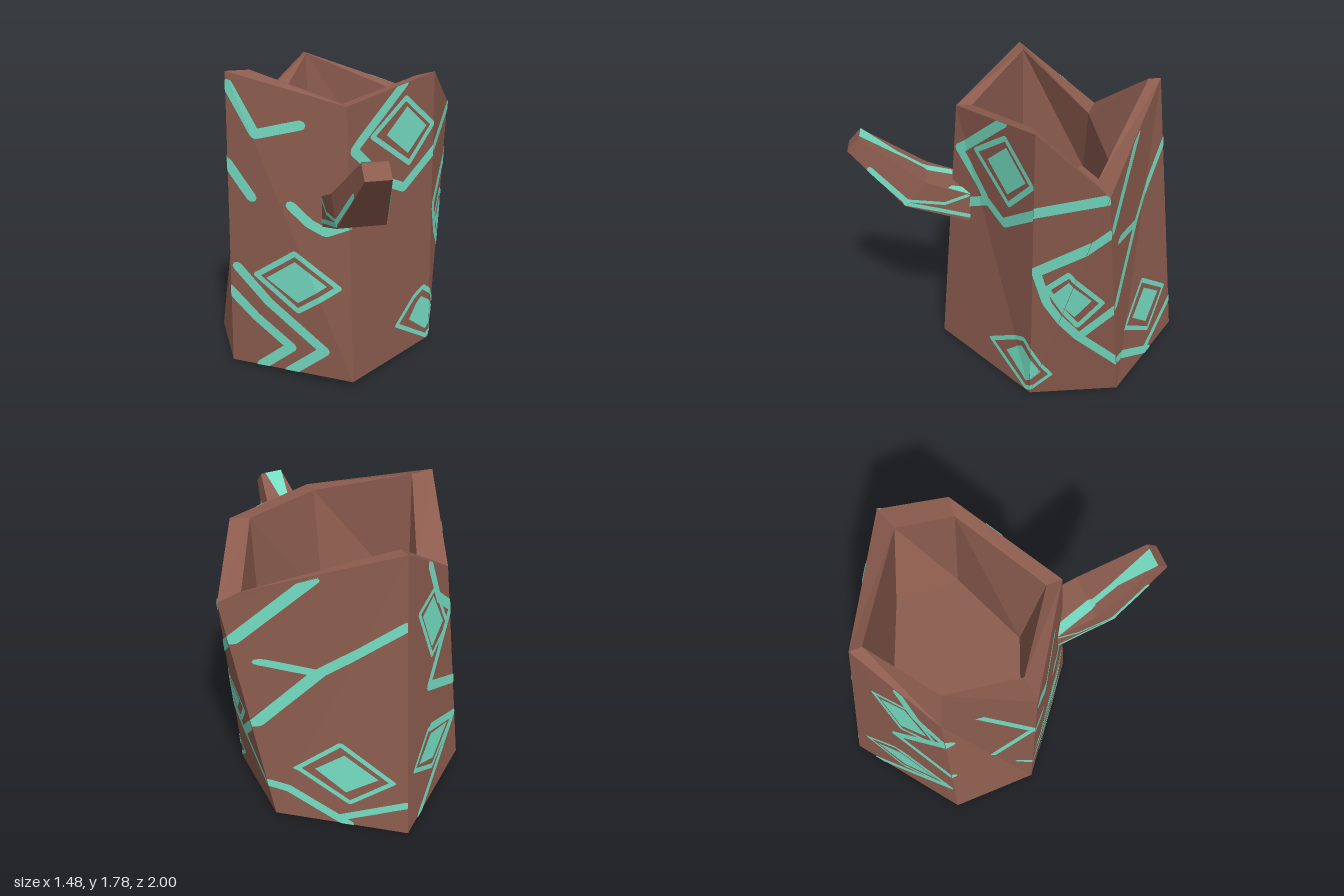
import * as THREE from 'three';

const V = (x, y, z) => new THREE.Vector3(x, y, z);
const quad = (a, b, c, d, flip) => (flip ? [[a, b, c], [a, c, d]] : [[a, b, d], [b, c, d]]);

// Mesh from a list of triangles, flat shaded because no corner is shared
function meshOf(name, tris, material) {
  const g = new THREE.BufferGeometry().setFromPoints(tris.flat());
  g.computeVertexNormals();
  const m = new THREE.Mesh(g, material);
  m.name = name;
  return m;
}

// Band of quads between two rings of corners
const band = (lo, hi, flips = []) => lo.map((p, i) => {
  const j = (i + 1) % lo.length;
  return quad(p, lo[j], hi[j], hi[i], flips[i]);
});

// Directions from which the paint is projected onto the bark
const fromFront = p => [p.x, p.y];
const fromRight = p => [p.z, p.y];
const fromTop = p => [p.x, p.z];
const fromBackLeft = p => [
  685 + 142 * (-0.824 * p.x + 0.566 * p.z),
  786 - 60 * (0.566 * p.x + 0.824 * p.z) - 128.7 * p.y,
];

const cross = (a, b, p) => (b[0] - a[0]) * (p[1] - a[1]) - (b[1] - a[1]) * (p[0] - a[0]);

// Clip a convex 2D polygon to a 2D triangle
function clip(poly, tri) {
  const s = Math.sign(cross(...tri));
  for (let i = 0; i < 3 && poly.length; i++) {
    const a = tri[i], b = tri[(i + 1) % 3], out = [];
    poly.forEach((p, k) => {
      const q = poly[(k + 1) % poly.length];
      const dp = s * cross(a, b, p), dq = s * cross(a, b, q);
      if (dp >= 0) out.push(p);
      if (dp >= 0 !== dq >= 0) {
        const t = dp / (dp - dq);
        out.push([p[0] + t * (q[0] - p[0]), p[1] + t * (q[1] - p[1])]);
      }
    });
    poly = out;
  }
  return poly;
}

// Lay polygons on the given triangles, just outside and (optionally) just inside
function paint(polys, tris, view, sides = [1, -1]) {
  const out = [];
  for (const tri of tris) {
    const flat = tri.map(view), area = cross(...flat);
    if (Math.abs(area) < 1e-6) continue;
    const n = new THREE.Triangle(...tri).getNormal(V(0, 0, 0));
    for (const poly of polys) {
      const cut = clip(poly, flat);
      for (const side of cut.length > 2 ? sides : []) {
        const pts = cut.map(p => {
          const v = cross(flat[0], p, flat[2]) / area, w = cross(flat[0], flat[1], p) / area;
          return V(0, 0, 0).addScaledVector(tri[0], 1 - v - w).addScaledVector(tri[1], v)
            .addScaledVector(tri[2], w).addScaledVector(n, 0.004 * side);
        });
        for (let i = 1; i < pts.length - 1; i++) {
          out.push(side > 0 === area > 0 ? [pts[0], pts[i], pts[i + 1]] : [pts[0], pts[i + 1], pts[i]]);
        }
      }
    }
  }
  return out;
}

// Brush stroke: one quad per segment and a round dab at every point
function stroke(w, ...pts) {
  const polys = pts.map(([x, y]) => Array.from({ length: 8 }, (_, i) =>
    [x + w / 2 * Math.cos(i * Math.PI / 4), y + w / 2 * Math.sin(i * Math.PI / 4)]));
  for (let i = 0; i < pts.length - 1; i++) {
    const [a, b] = [pts[i], pts[i + 1]];
    const l = Math.hypot(b[0] - a[0], b[1] - a[1]) * 2 / w;
    const nx = (a[1] - b[1]) / l, ny = (b[0] - a[0]) / l;
    polys.push([[a[0] + nx, a[1] + ny], [b[0] + nx, b[1] + ny], [b[0] - nx, b[1] - ny], [a[0] - nx, a[1] - ny]]);
  }
  return polys;
}
const diamond = (w, ring, fill) => [...stroke(w, ...ring, ring[0]), fill];

export function createModel() {
  const bark = new THREE.MeshStandardMaterial({ color: 0x8c5c4e, side: THREE.DoubleSide });
  bark.name = 'bark brown';
  const mint = new THREE.MeshStandardMaterial({ color: 0x74dcc2, side: THREE.DoubleSide });
  mint.name = 'mint paint';
  const model = new THREE.Group();
  model.name = 'hollowStump';

  // Six-sided rings, from the front corner round by +x
  const base = [V(-0.11, 0.04, 0.51), V(0.52, 0.01, 0), V(0.52, 0.01, -0.53),
    V(-0.11, 0, -1), V(-0.74, 0.01, -0.53), V(-0.74, 0.01, 0)];
  const rim = [V(-0.11, 1.63, 0.37), V(0.52, 1.73, -0.02), V(0.74, 1.47, -0.38),
    V(-0.11, 1.755, -0.8), V(-0.56, 1.42, -0.5), V(-0.71, 1.78, -0.04)];
  const lip = [V(-0.11, 1.63, 0.28), V(0.41, 1.71, -0.03), V(0.59, 1.47, -0.33),
    V(-0.11, 1.755, -0.73), V(-0.4, 1.42, -0.44), V(-0.57, 1.78, -0.05)];
  const floor = [[-0.11, 0.15], [0.38, -0.05], [0.38, -0.45], [-0.11, -0.65], [-0.6, -0.45], [-0.6, -0.05]]
    .map(([x, z]) => V(x, 0.95, z));

  // Trunk, open underneath
  const walls = band(base, rim, [false, true, true, false, false, false]);
  model.add(meshOf('trunkWall', walls.flat(), bark));
  model.add(meshOf('rim', band(rim, lip).flat(), bark));
  model.add(meshOf('hollowWall', band(lip, floor).flat(), bark));
  model.add(meshOf('hollowFloor', floor.map((p, i) => [V(-0.11, 0.95, -0.25), p, floor[(i + 1) % 6]]), bark));

  // Branch stub: three rectangular sections [half width, bottom z, bottom y, top z, top y]
  const sections = [[0.135, 0.31, 0.94, 0.31, 1.12], [0.135, 0.69, 1.06, 0.56, 1.21], [0.07, 1, 1.4, 0.93, 1.475]]
    .map(([w, bz, by, tz, ty]) => [V(-0.11 - w, by, bz), V(-0.11 + w, by, bz), V(-0.11 + w, ty, tz), V(-0.11 - w, ty, tz)]);
  const inner = band(sections[0], sections[1]), outer = band(sections[1], sections[2]);
  model.add(meshOf('branch', [...inner.flat(), ...outer.flat(), ...quad(...sections[2])], bark));

  // Paint on the trunk
  const on = (...faces) => faces.flatMap(i => walls[i]);
  const W = 0.055, R = 0.03;
  const frontPaint = [
    ...stroke(W, [-0.7, 1.71], [-0.57, 1.44], [-0.34, 1.51]),
    ...stroke(W, [-0.72, 1.26], [-0.6, 1.07]),
    ...stroke(W, [-0.4, 1.05], [-0.31, 0.96], [-0.23, 0.92], [-0.11, 0.98], [0, 1.06], [0.15, 1.15], [0.29, 1.08], [0.54, 1.27]),
    ...stroke(W, [0.29, 1.7], [-0.07, 1.38], [0.15, 1.15]),
    ...stroke(W, [-0.69, 0.63], [-0.53, 0.44], [-0.25, 0.2], [-0.43, 0.02]),
    ...stroke(W, [-0.74, 0.48], [-0.6, 0.33], [-0.42, 0.18], [-0.58, 0.02]),
    ...diamond(R, [[-0.59, 0.6], [-0.39, 0.77], [-0.17, 0.6], [-0.38, 0.42]],
      [[-0.54, 0.59], [-0.39, 0.72], [-0.23, 0.6], [-0.38, 0.47]]),
    ...diamond(R, [[0.06, 1.43], [0.3, 1.61], [0.51, 1.42], [0.33, 1.22]],
      [[0.16, 1.42], [0.31, 1.56], [0.46, 1.42], [0.32, 1.28]]),
  ];
  const cornerPaint = diamond(0.024, [[0.21, 0.22], [0.03, 0.38], [-0.12, 0.17], [0.02, 0.03]],
    [[0.125, 0.21], [0.04, 0.32], [-0.06, 0.2], [0.02, 0.08]]);
  const rightPaint = [
    ...stroke(W, [0.02, 1.25], [-0.4, 1.47]),
    ...stroke(W, [-0.41, 1.24], [-0.03, 0.9], [-0.09, 0.71], [-0.27, 0.48], [-0.55, 0.22]),
    ...stroke(W, [-0.27, 0.48], [-0.47, 0.69]),
    ...diamond(R, [[-0.09, 0.81], [-0.2, 0.94], [-0.39, 0.74], [-0.26, 0.57]],
      [[-0.12, 0.78], [-0.2, 0.89], [-0.33, 0.76], [-0.24, 0.64]]),
  ];
  // This wall is seen aslant, so its strokes are drawn narrower
  const backRightPaint = [
    ...stroke(0.042, [-0.59, 1.61], [-0.41, 1.24]),
    ...stroke(0.042, [-0.5, 0.26], [-0.55, 0.22], [-0.79, 0.01]),
    ...stroke(0.042, [-0.47, 0.69], [-0.62, 1.04], [-0.85, 1.37]),
    ...stroke(0.042, [-0.48, 1.11], [-0.62, 1.04]),
    ...stroke(0.042, [-0.76, 0.05], [-0.98, 0.21]),
    ...diamond(0.022, [[-0.58, 0.37], [-0.71, 0.57], [-0.91, 0.35], [-0.78, 0.17]],
      [[-0.64, 0.38], [-0.73, 0.5], [-0.86, 0.36], [-0.76, 0.24]]),
  ];
  const backPaint = [
    ...stroke(8, [673, 628], [688, 662], [715, 683], [666, 728], [720, 754]),
    ...stroke(7, [669, 769], [720, 789], [680, 814], [640, 838]),
    ...diamond(4, [[650, 657], [682, 651], [706, 694], [673, 704]], [[656, 662], [678, 656], [697, 687], [673, 697]]),
    ...diamond(4, [[633, 787], [663, 768], [719, 788], [670, 809]], [[643, 788], [668, 775], [705, 788], [672, 802]]),
    ...stroke(8, [731, 619], [769, 653]),
    ...stroke(4, [764, 655], [742, 727]),
    ...stroke(7, [761, 750], [772, 752]),
  ];
  model.add(meshOf('frontPaint', paint(frontPaint, on(5, 0), fromFront), mint));
  model.add(meshOf('cornerPaint', paint(cornerPaint, on(0, 1), fromRight), mint));
  model.add(meshOf('rightPaint', paint(rightPaint, on(1), fromRight), mint));
  model.add(meshOf('backRightPaint', paint(backRightPaint, on(2), fromRight), mint));
  model.add(meshOf('backPaint', paint(backPaint, on(3, 4), fromBackLeft), mint));

  // Paint on the branch: forked stripes along each side and a widening one on top
  const sideStripe = [
    ...stroke(0.035, [0.88, 1.29], [0.69, 1.1]),
    ...stroke(0.02, [0.69, 1.1], [0.46, 1.07], [0.32, 1.12]),
    ...stroke(0.025, [0.69, 1.08], [0.5, 1.03], [0.32, 0.98]),
  ];
  const topStripe = [
    ...stroke(0.06, [-0.22, 0.3], [-0.16, 0.56]),
    ...stroke(0.035, [-0.16, 0.56], [-0.13, 0.76]),
    [[-0.15, 0.7], [-0.12, 0.7], [-0.07, 0.93], [-0.18, 0.93]],
    [[0.03, 0.3], [0.03, 0.44], [-0.02, 0.42], [-0.06, 0.3]],
  ];
  for (const [name, k] of [['branchLeftStripe', 1], ['branchRightStripe', 3]]) {
    model.add(meshOf(name, paint(sideStripe, [...inner[k], ...outer[k]], fromRight, [1]), mint));
  }
  model.add(meshOf('branchTopStripe', paint(topStripe, [...inner[2], ...outer[2]], fromTop, [1]), mint));
  return model;
}
